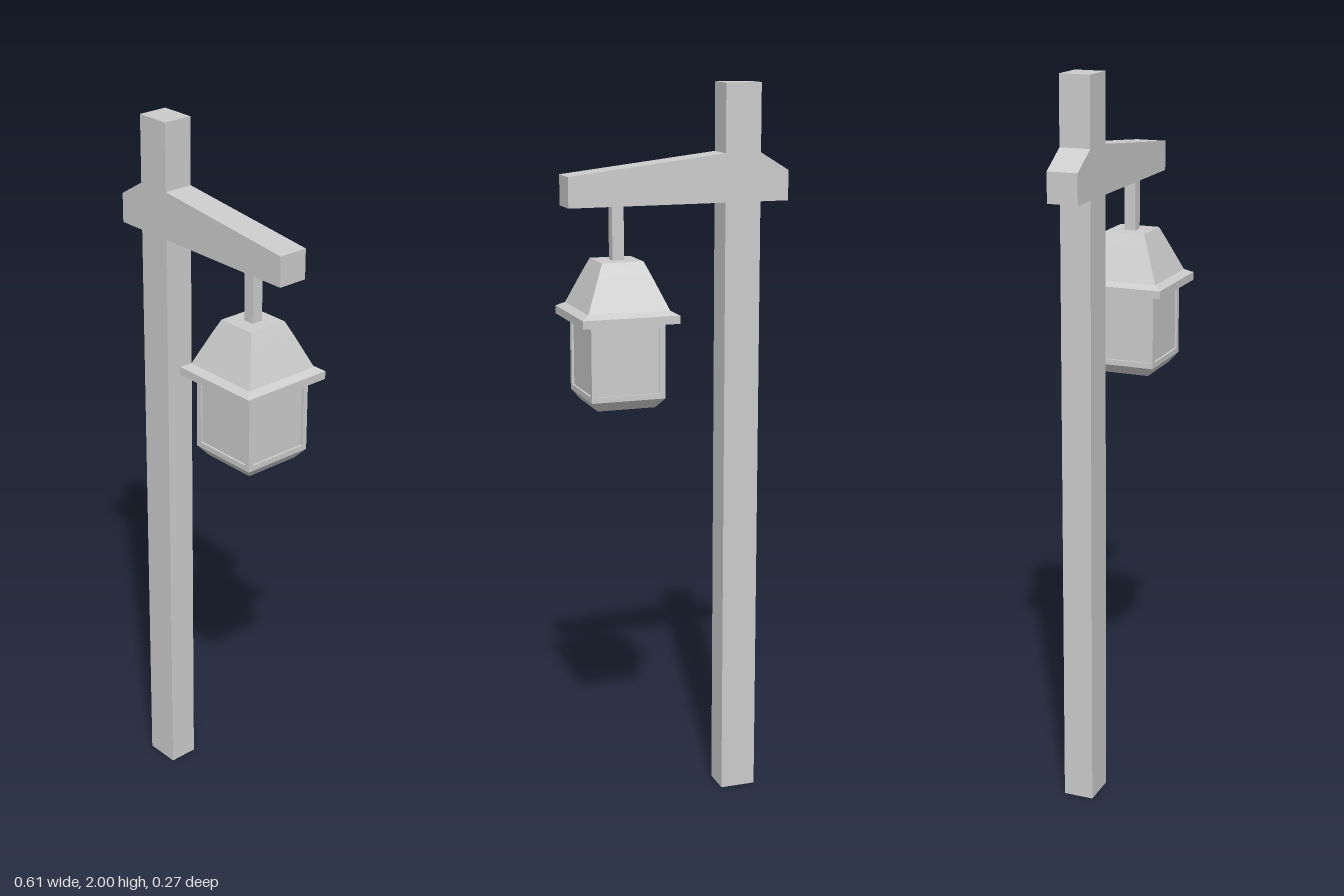
import * as THREE from 'three';

const material = new THREE.MeshStandardMaterial({ color: 0xcccccc, flatShading: true });
const DEPTH = 0.084; // thickness of the timber

function add(parent, name, geometry, x = 0, y = 0, z = 0) {
  const mesh = new THREE.Mesh(geometry, material);
  mesh.name = name;
  mesh.position.set(x, y, z);
  parent.add(mesh);
  return mesh;
}

const polygon = (points) => points.map(([x, y]) => new THREE.Vector2(x, y));

// Flat outline given thickness, centred on z
function timber(points) {
  const geometry = new THREE.ExtrudeGeometry(new THREE.Shape(polygon(points)), { depth: DEPTH, bevelEnabled: false });
  return geometry.translate(0, 0, -DEPTH / 2);
}

// Square cross-sections stacked bottom to top: [half width, y]
function squareLoft(profile) {
  const points = profile.map(([half, y]) => new THREE.Vector2(half * Math.SQRT2, y));
  return new THREE.LatheGeometry(points, 4, Math.PI / 4);
}

const rectangle = (half, bottom, top) => polygon([[-half, bottom], [half, bottom], [half, top], [-half, top]]);

function createLantern() {
  const lantern = new THREE.Group();
  lantern.name = 'lantern';

  // Square rod that hangs from the arm
  add(lantern, 'hangingRod', new THREE.BoxGeometry(0.032, 0.155, 0.032), 0, 1.615, 0);

  // Stepped roof with a projecting eave
  add(lantern, 'roof', squareLoft([
    [0, 1.385], [0.133, 1.385], [0.133, 1.407], [0.112, 1.418],
    [0.073, 1.508], [0.057, 1.543], [0, 1.543],
  ]));

  // Glass core, set back behind the frames
  add(lantern, 'glass', new THREE.BoxGeometry(0.192, 0.205, 0.192), 0, 1.2825, 0);

  // Window frame on each of the four sides
  const frameShape = new THREE.Shape(rectangle(0.102, 1.18, 1.385));
  frameShape.holes.push(new THREE.Path(rectangle(0.087, 1.195, 1.372)));
  const frameGeometry = new THREE.ExtrudeGeometry(frameShape, { depth: 0.006, bevelEnabled: false });
  frameGeometry.translate(0, 0, 0.096);
  for (let i = 0; i < 4; i++) {
    add(lantern, 'windowFrame', frameGeometry).rotation.y = (i * Math.PI) / 2;
  }

  // Chamfered base
  add(lantern, 'base', squareLoft([[0, 1.153], [0.08, 1.153], [0.102, 1.18], [0, 1.18]]));

  lantern.position.x = 0.165;
  return lantern;
}

export function createModel() {
  const model = new THREE.Group();
  model.name = 'lampPost';

  // Upright post
  add(model, 'post', new THREE.BoxGeometry(0.1, 2, DEPTH), -0.177, 1, 0);

  // Tapered arm and the short stub on the other side of the post
  add(model, 'arm', timber([[-0.127, 1.687], [0.307, 1.687], [0.307, 1.768], [-0.127, 1.817]]));
  add(model, 'armStub', timber([[-0.307, 1.687], [-0.227, 1.687], [-0.227, 1.817], [-0.307, 1.768]]));

  model.add(createLantern());
  return model;
}
